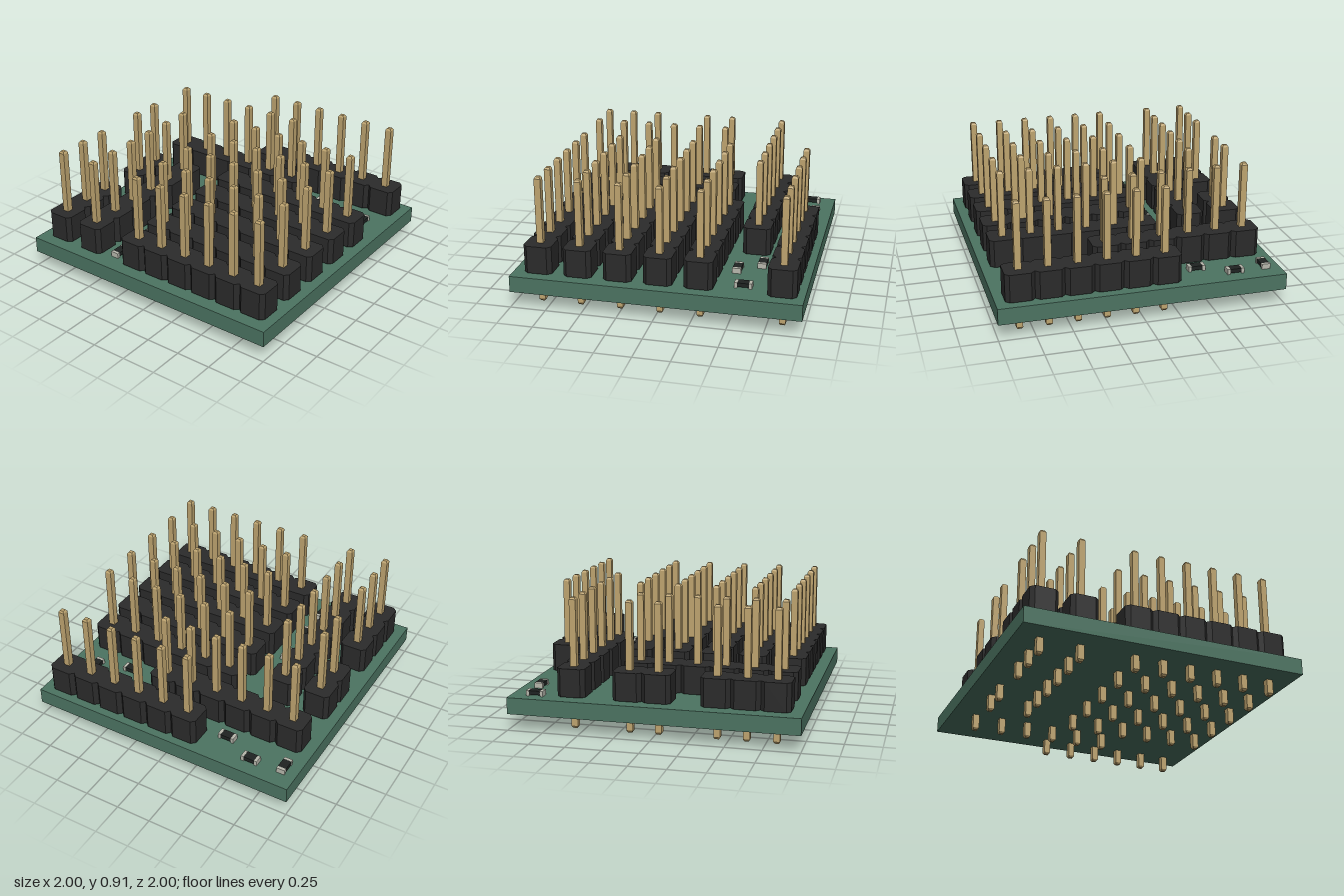
import * as THREE from 'three';

const mat = (color) => new THREE.MeshStandardMaterial({ color, flatShading: true });
const green = mat(0x4c7462), black = mat(0x2b2b2b), gold = mat(0xbfa570);
const metal = mat(0xb9b9ae), dark = mat(0x1f2322);

const PITCH = 0.2, BOARD_BOTTOM = 0.115, BOARD_TOP = 0.23;

function add(parent, name, geometry, material, x = 0, y = 0, z = 0) {
  const mesh = new THREE.Mesh(geometry, material);
  mesh.name = name;
  mesh.position.set(x, y, z);
  parent.add(mesh);
  return mesh;
}

// Square pin with tapered ends, from y = 0 to its tip
function pinGeometry() {
  const r = 0.0225 * Math.SQRT2, t = 0.0135 * Math.SQRT2, h = 0.907, c = 0.014;
  const profile = [[0, 0], [t, 0], [r, c], [r, h - c], [t, h], [0, h]]
    .map(([x, y]) => new THREE.Vector2(x, y));
  return new THREE.LatheGeometry(profile, 4, Math.PI / 4);
}

// Housing of n joined cells, each with cut corners, running along x from the first cell's centre
function housingGeometry(n) {
  const w = PITCH / 2, d = 0.098, c = 0.028;
  const points = [];
  for (let i = 0; i < n; i++) {
    const x = i * PITCH;
    if (i === 0) points.push([x - w, -d + c]);
    points.push([x - w + c, -d], [x + w - c, -d], [x + w, -d + c]);
  }
  for (let i = n - 1; i >= 0; i--) {
    const x = i * PITCH;
    if (i === n - 1) points.push([x + w, d - c]);
    points.push([x + w - c, d], [x - w + c, d], [x - w, d - c]);
  }
  const shape = new THREE.Shape(points.map(([x, y]) => new THREE.Vector2(x, y)));
  const geometry = new THREE.ExtrudeGeometry(shape, { depth: 0.196, bevelEnabled: false });
  return geometry.rotateX(-Math.PI / 2);
}

const pin = pinGeometry();

// Pin header: strip housing with a pin through each cell
function pinHeader(n, x, z, alongZ) {
  const header = new THREE.Group();
  header.name = 'pinHeader';
  add(header, 'headerHousing', housingGeometry(n), black, 0, 0.239, 0);
  for (let i = 0; i < n; i++) add(header, 'pin', pin, gold, i * PITCH, 0, 0);
  header.position.set(x, 0, z);
  if (alongZ) header.rotation.y = -Math.PI / 2;
  return header;
}

// Small surface-mounted resistor: dark body between two metal end caps
function resistor(x, z, alongZ) {
  const part = new THREE.Group();
  part.name = 'resistor';
  add(part, 'resistorBody', new THREE.BoxGeometry(0.08, 0.028, 0.06), dark, 0, 0.253, 0);
  for (const side of [-1, 1]) {
    add(part, 'resistorEndCap', new THREE.BoxGeometry(0.021, 0.038, 0.06), metal, side * 0.0495, 0.249, 0);
  }
  part.position.set(x, 0, z);
  if (alongZ) part.rotation.y = Math.PI / 2;
  return part;
}

export function createModel() {
  const model = new THREE.Group();
  model.name = 'pinHeaderBoard';

  // Circuit board
  add(model, 'circuitBoard', new THREE.BoxGeometry(2, BOARD_TOP - BOARD_BOTTOM, 2), green,
    0, (BOARD_TOP + BOARD_BOTTOM) / 2, 0);

  // Headers across the board
  for (const z of [-0.852, -0.294, -0.016, 0.262, 0.541, 0.819]) {
    model.add(pinHeader(6, -0.165, z, false));
  }
  model.add(pinHeader(6, -0.823, -0.573, false));

  // Headers running front to back on the right side
  model.add(pinHeader(6, -0.554, -0.18, true));
  model.add(pinHeader(2, -0.832, -0.18, true));
  model.add(pinHeader(3, -0.832, 0.42, true));

  // Resistors: x, z, turned along z
  const resistors = [
    [-0.893, -0.829, true], [-0.664, -0.877, false], [-0.422, -0.767, false],
    [0.427, -0.65, false], [0.545, -0.494, false], [0.803, -0.58, true],
    [-0.358, 0.233, true], [-0.358, 0.527, true], [-0.358, 0.81, true],
  ];
  for (const [x, z, alongZ] of resistors) model.add(resistor(x, z, alongZ));

  return model;
}
